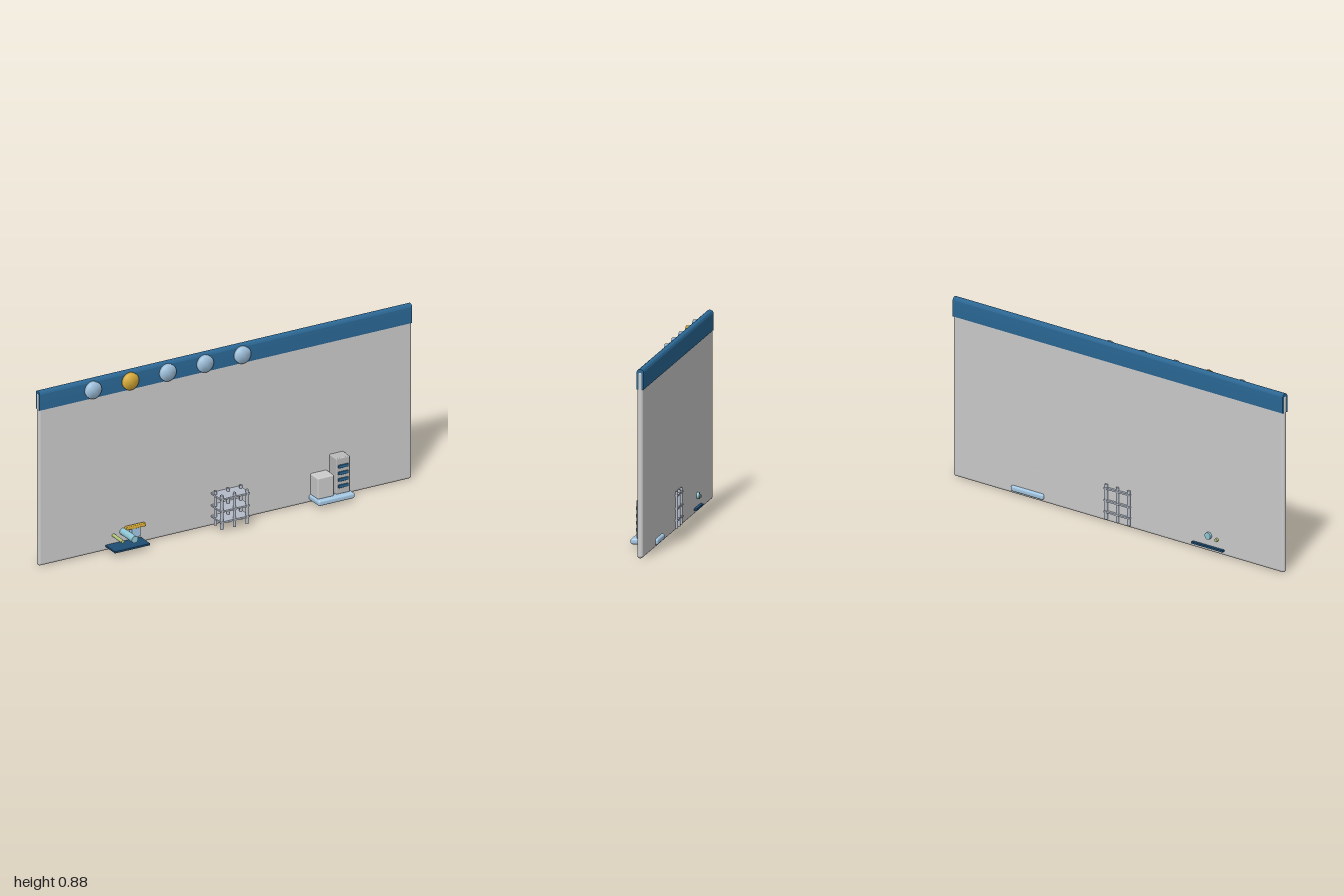
import * as THREE from 'three';
import { mergeVertices, toCreasedNormals } from 'three/addons/utils/BufferGeometryUtils.js';
import { RoundedBoxGeometry } from 'three/addons/geometries/RoundedBoxGeometry.js';

const mat = (color) => new THREE.MeshStandardMaterial({ color });
const grey = mat(0xcccccc), blue = mat(0x2a6794), navy = mat(0x1d4d73), sky = mat(0xa5c8e4);
const gold = mat(0xe0b23c), teal = mat(0x90c8d6), green = mat(0xb5c77a), steel = mat(0xb4bcc8);

function add(parent, name, geometry, material, x, y, z) {
  const mesh = new THREE.Mesh(geometry, material);
  mesh.name = name;
  mesh.position.set(x, y, z);
  parent.add(mesh);
  return mesh;
}

// Box given by its min and max on each axis, with optional rounded edges
function block(parent, name, material, [x0, x1], [y0, y1], [z0, z1], r = 0) {
  const w = x1 - x0, h = y1 - y0, d = z1 - z0;
  const g = r ? new RoundedBoxGeometry(w, h, d, 5, r) : new THREE.BoxGeometry(w, h, d);
  return add(parent, name, g, material, (x0 + x1) / 2, (y0 + y1) / 2, (z0 + z1) / 2);
}

// Cylinder lying along z
function rodZ(parent, name, material, r, x, y, z0, z1) {
  const g = new THREE.CylinderGeometry(r, r, z1 - z0, 28).rotateX(Math.PI / 2);
  return add(parent, name, g, material, x, y, (z0 + z1) / 2);
}

function subgroup(parent, name) {
  const g = new THREE.Group();
  g.name = name;
  parent.add(g);
  return g;
}

export function createModel() {
  const model = new THREE.Group();
  model.name = 'displayPanel';

  // Upright board with rounded edges
  block(model, 'board', grey, [-1, 1], [0, 0.875], [-0.062, -0.034], 0.0135);

  // Header band wrapped over the top of the board
  const r = 0.017;
  const profile = new THREE.Shape();
  profile.moveTo(-r, 0.79);
  profile.lineTo(r, 0.79);
  profile.lineTo(r, 0.885 - r);
  profile.absarc(0, 0.885 - r, r, 0, Math.PI, false);
  profile.closePath();
  const bandGeo = new THREE.ExtrudeGeometry(profile, { depth: 1.996, bevelEnabled: false, curveSegments: 16 });
  bandGeo.translate(0, 0, -0.998).rotateY(Math.PI / 2);
  add(model, 'headerBand', toCreasedNormals(bandGeo, 0.6), blue, 0, 0, -0.048);

  // Round buttons with softly shaded edges
  let buttonGeo = new THREE.CylinderGeometry(0.042, 0.042, 0.022, 32).rotateX(Math.PI / 2);
  buttonGeo.deleteAttribute('normal');
  buttonGeo.deleteAttribute('uv');
  buttonGeo = mergeVertices(buttonGeo);
  buttonGeo.computeVertexNormals();
  for (let i = 0; i < 5; i++) {
    add(model, 'button', buttonGeo, i === 1 ? gold : sky, -0.715 + 0.2 * i, 0.835, -0.027);
  }

  // Machine: plate, long roller, thin rod and a beam on a block
  const machine = subgroup(model, 'machine');
  block(machine, 'machinePlate', navy, [-0.643, -0.455], [0.021, 0.03], [-0.077, 0.054]);
  rodZ(machine, 'roller', teal, 0.017, -0.55, 0.079, -0.074, 0.077);
  rodZ(machine, 'thinRod', green, 0.008, -0.6, 0.07, -0.074, 0.052);
  block(machine, 'beam', gold, [-0.545, -0.44], [0.09, 0.106], [-0.028, -0.008], 0.004);
  block(machine, 'beamBlock', sky, [-0.515, -0.467], [0.046, 0.09], [-0.04, -0.012]);

  // Scaffold: nine posts through three thin decks
  const scaffold = subgroup(model, 'scaffold');
  const postGeo = new THREE.CylinderGeometry(0.0075, 0.0075, 0.173, 16);
  for (const x of [-0.068, 0, 0.068]) {
    for (const z of [-0.066, -0.01, 0.048]) add(scaffold, 'post', postGeo, steel, x, 0.0985, z);
  }
  for (const y of [0.05, 0.105, 0.166]) {
    block(scaffold, 'deck', steel, [-0.077, 0.077], [y - 0.004, y + 0.004], [-0.075, 0.057]);
  }

  // Building: rounded base, low block and tower with windows
  const building = subgroup(model, 'building');
  block(building, 'buildingBase', sky, [0.447, 0.643], [0.014, 0.042], [-0.075, 0.056], 0.01);
  block(building, 'lowBlock', grey, [0.455, 0.543], [0.04, 0.147], [-0.0622, 0.034], 0.006);
  block(building, 'tower', steel, [0.557, 0.632], [0.04, 0.222], [-0.05, 0.028], 0.005).material = mat(0xbbbbbb);
  for (const y of [0.08, 0.113, 0.146, 0.18]) {
    block(building, 'window', blue, [0.567, 0.621], [y - 0.008, y + 0.008], [0.024, 0.034], 0.003);
  }
  return model;
}
